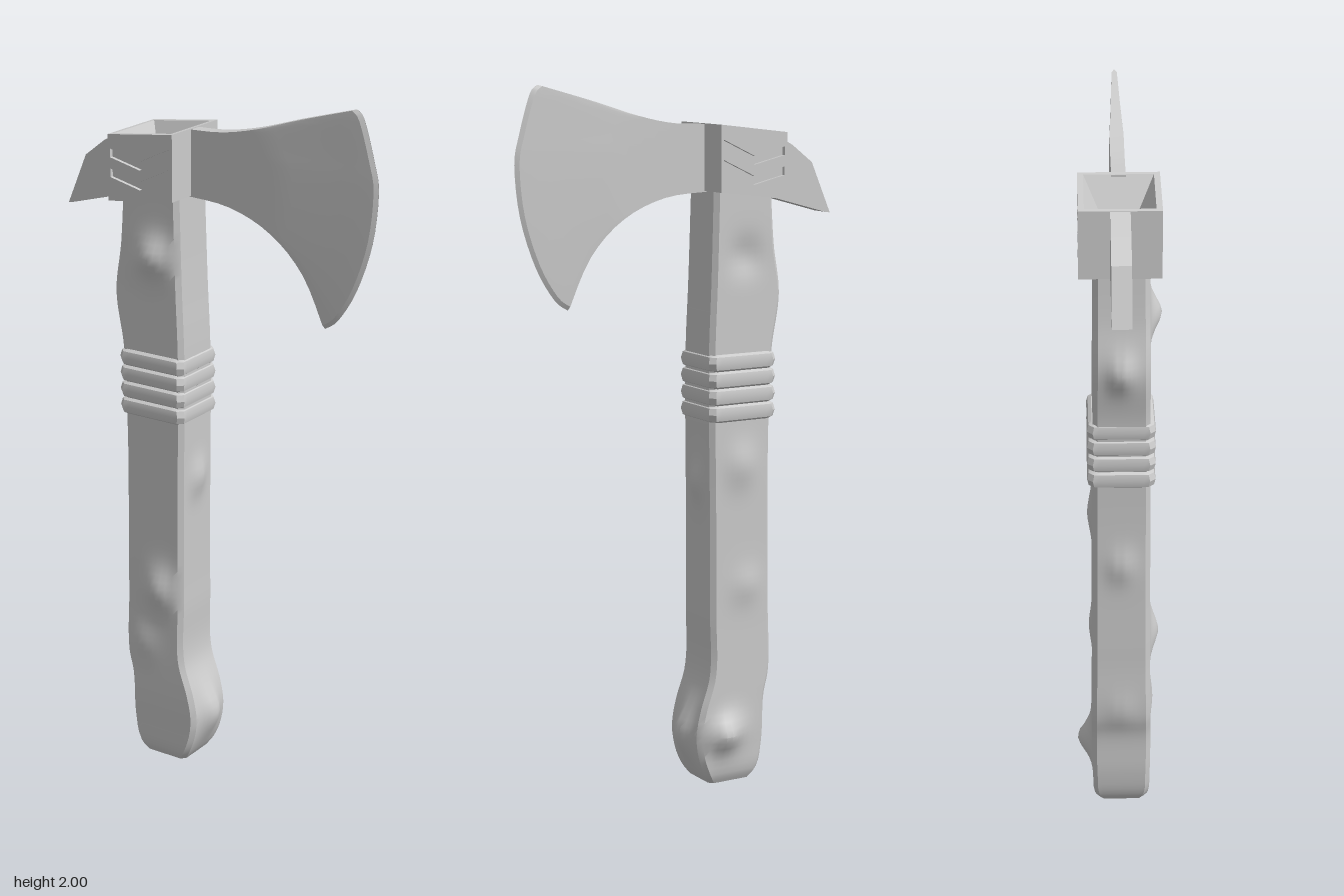
import * as THREE from 'three';
import { toCreasedNormals } from 'three/addons/utils/BufferGeometryUtils.js';

const material = new THREE.MeshStandardMaterial({ color: 0xcccccc });

// Skin closed loops of [x, y, z] points into a capped solid
function loft(loops, crease = 0.6) {
  const pos = [];
  const tri = (a, b, c) => pos.push(...a, ...b, ...c);
  const n = loops[0].length;
  for (let i = 0; i < loops.length - 1; i++) {
    for (let j = 0; j < n; j++) {
      const k = (j + 1) % n, p = loops[i], q = loops[i + 1];
      tri(p[j], p[k], q[k]);
      tri(p[j], q[k], q[j]);
    }
  }
  const cap = (loop, flip) => {
    const c = [0, 1, 2].map(a => loop.reduce((s, p) => s + p[a], 0) / n);
    loop.forEach((p, j) => {
      const q = loop[(j + 1) % n];
      if (flip) tri(c, q, p); else tri(c, p, q);
    });
  };
  cap(loops[0], true);
  cap(loops[loops.length - 1], false);
  const g = new THREE.BufferGeometry();
  g.setAttribute('position', new THREE.Float32BufferAttribute(pos, 3));
  return toCreasedNormals(g, crease);
}

// Smooth value along y from [y, value] keys
function profile(keys) {
  const curve = new THREE.CubicInterpolant(keys.map(k => k[0]), keys.map(k => k[1]), 1);
  return y => curve.evaluate(y)[0];
}

// Chamfered rectangle; swell(face, s) pushes each face outward
function chamferLoop(y, L, R, B, F, chamfer, swell = () => 0) {
  const loop = [], n = 10;
  for (let face = 0; face < 4; face++) {
    for (let i = 0; i <= n; i++) {
      const s = i / n, d = swell(face, s * 2 - 1);
      const x = THREE.MathUtils.lerp(L + chamfer, R - chamfer, s);
      const z = THREE.MathUtils.lerp(B + chamfer, F - chamfer, s);
      const xr = L + R - x, zr = B + F - z;
      loop.push([[R + d, y, zr], [xr, y, B - d], [L - d, y, z], [x, y, F + d]][face]);
    }
  }
  return loop;
}

// Carved handle with knobs on its faces
function handleGeometry() {
  const left = profile([[0, -0.222], [0.025, -0.238], [0.1, -0.253], [0.25, -0.26], [0.31, -0.274],
    [0.5, -0.274], [0.75, -0.272], [1, -0.272], [1.25, -0.282], [1.41, -0.306], [1.55, -0.288], [1.72, -0.277]]);
  const right = profile([[0, -0.085], [0.025, -0.068], [0.08, -0.045], [0.15, -0.035], [0.22, -0.047],
    [0.32, -0.078], [0.5, -0.08], [0.8, -0.079], [1.25, -0.076], [1.45, -0.084], [1.72, -0.092]]);
  const front = profile([[0, 0.07], [0.025, 0.082], [0.1, 0.087], [0.5, 0.085], [1, 0.083], [1.72, 0.078]]);
  const back = profile([[0, -0.058], [0.025, -0.07], [0.1, -0.076], [0.5, -0.076], [1, -0.074], [1.72, -0.07]]);
  // face (0 right, 1 back, 2 left, 3 front), y, position across, height, spread
  const knobs = [
    [0, 0.15, 0, 0.027, 0.07], [0, 0.88, 0, 0.015, 0.05],
    [1, 0.15, -0.3, 0.042, 0.05], [1, 0.93, 0, 0.014, 0.06], [1, 0.58, 0.2, 0.01, 0.05], [1, 1.52, 0, -0.014, 0.05],
    [2, 1.41, 0, 0.022, 0.05], [2, 0.81, 0, 0.013, 0.05], [2, 0.34, 0, 0.006, 0.05],
    [3, 1.53, 0.2, 0.034, 0.05], [3, 0.54, 0.25, 0.027, 0.06], [3, 0.36, -0.5, 0.008, 0.05],
  ];
  const loops = [];
  for (const y of [0, 0.008, 0.018, 0.03, ...Array.from({ length: 84 }, (_, i) => 0.05 + i * 0.02)]) {
    const swell = (face, s) => knobs.filter(k => k[0] === face).reduce((sum, k) =>
      sum + k[3] * Math.exp(-(((y - k[1]) / k[4]) ** 2) - ((s - k[2]) / 0.6) ** 2) * (1 - s ** 4), 0);
    loops.push(chamferLoop(y, left(y), right(y), back(y), front(y), 0.013, swell));
  }
  return loft(loops);
}

// One rounded turn of the grip wrap
function bandGeometry(y, h) {
  return loft([[0, 0], [0.12, 0.009], [0.5, 0.013], [0.88, 0.009], [1, 0]].map(([t, e]) =>
    chamferLoop(y + t * h, -0.273 - e, -0.081 + e, -0.075 - e, 0.083 + e, 0.015)), 0.5);
}

// Broad blade: patch between four border curves, thinning to its edge
function bladeGeometry() {
  const spline = pts => new THREE.SplineCurve(pts.map(p => new THREE.Vector2(...p)));
  const top = spline([[-0.1, 1.885], [0.01, 1.89], [0.12, 1.912], [0.26, 1.955], [0.42, 2]]);
  const bottom = spline([[-0.1, 1.7], [0.04, 1.688], [0.17, 1.635], [0.27, 1.535], [0.335, 1.395]]);
  const edge = spline([[0.42, 2], [0.443, 1.975], [0.475, 1.87], [0.49, 1.79], [0.475, 1.65],
    [0.43, 1.515], [0.375, 1.425], [0.335, 1.395]]);
  const hub = spline([[-0.1, 1.885], [-0.1, 1.7]]);
  const [a, b, c, d] = [top.getPoint(0), top.getPoint(1), bottom.getPoint(0), bottom.getPoint(1)];
  const steps = [...Array.from({ length: 16 }, (_, i) => i / 16), 0.97, 1];
  const rows = 28;
  return loft(steps.map(u => {
    const T = top.getPoint(u), B = bottom.getPoint(u), face = [];
    const half = u === 1 ? 0.0005 : 0.019 - 0.012 * THREE.MathUtils.clamp((u - 0.5) / 0.47, 0, 1);
    for (let i = 0; i <= rows; i++) {
      const v = i / rows, H = hub.getPoint(v), E = edge.getPoint(v);
      const mix = k => (1 - v) * T[k] + v * B[k] + (1 - u) * H[k] + u * E[k]
        - (1 - u) * ((1 - v) * a[k] + v * c[k]) - u * ((1 - v) * b[k] + v * d[k]);
      face.push([mix('x'), mix('y'), half]);
    }
    return [...face, ...face.map(([x, y, z]) => [x, y, -z]).reverse()];
  }), 0.35);
}

// Slightly tilted socket block with a tapered hollow in its top
const tilt = (x, y) => y + 0.12 * (x + 0.19);
function socketGeometry() {
  const rect = (L, R, z, y) => [[R, z], [R, -z], [L, -z], [L, z]].map(([x, w]) => [x, tilt(x, y), w]);
  return loft([
    rect(-0.298, -0.085, 0.097, 1.69), rect(-0.298, -0.085, 0.097, 1.875),
    rect(-0.285, -0.097, 0.092, 1.875), rect(-0.23, -0.155, 0.037, 1.765),
  ], 0.1);
}

// Side plate with two sunken chevrons
function plateGeometry() {
  const path = (pts, C) => new C(pts.map(([x, y]) => new THREE.Vector2(x, tilt(x, y))));
  const shape = path([[-0.298, 1.69], [-0.085, 1.69], [-0.085, 1.875], [-0.298, 1.875]], THREE.Shape);
  for (const y of [1.835, 1.78]) {
    shape.holes.push(path([[-0.29, y], [-0.192, y - 0.035], [-0.093, y],
      [-0.093, y - 0.024], [-0.192, y - 0.059], [-0.29, y - 0.024]], THREE.Path));
  }
  return new THREE.ExtrudeGeometry(shape, { depth: 0.011, bevelEnabled: false });
}

// Down-turned rear spike
function spikeGeometry() {
  const shape = new THREE.Shape([[-0.29, 1.862], [-0.298, 1.86], [-0.37, 1.82], [-0.435, 1.77], [-0.498, 1.625],
    [-0.48, 1.628], [-0.29, 1.68]].map(p => new THREE.Vector2(...p)));
  return new THREE.ExtrudeGeometry(shape, { depth: 0.052, bevelEnabled: false }).translate(0, 0, -0.026);
}

export function createModel() {
  const model = new THREE.Group();
  const add = (name, geometry) => {
    const mesh = new THREE.Mesh(geometry, material);
    mesh.name = name;
    model.add(mesh);
    return mesh;
  };
  add('handle', handleGeometry());
  for (let i = 0; i < 4; i++) add('gripBand' + (i + 1), bandGeometry(1.058 + i * 0.048, 0.048));
  add('socket', socketGeometry());
  add('frontPlate', plateGeometry()).position.z = 0.097;
  add('backPlate', plateGeometry()).position.z = -0.108;
  add('blade', bladeGeometry());
  add('rearSpike', spikeGeometry());
  return model;
}
